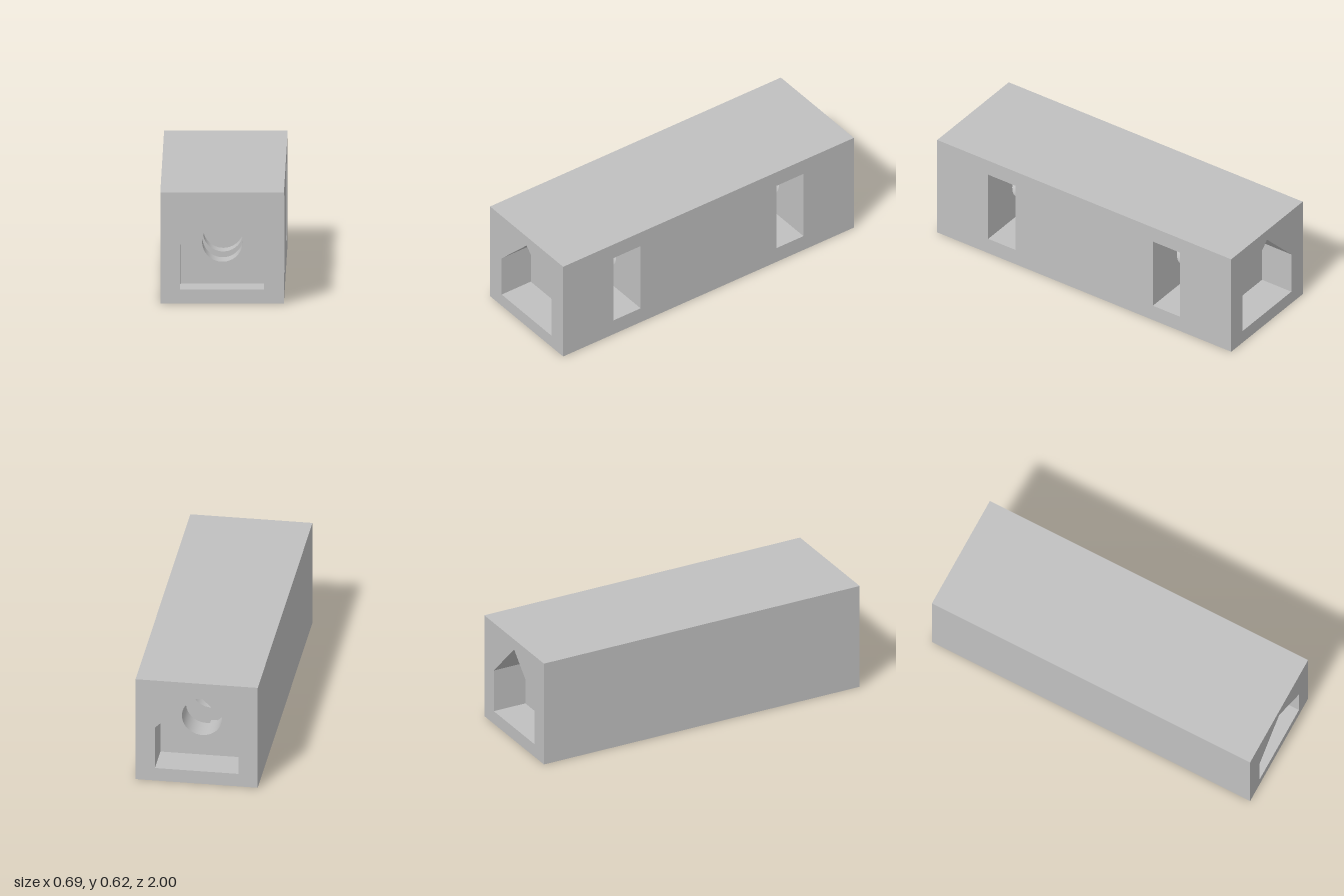
import * as THREE from 'three';

const W = 0.343, H = 0.625, CY = 0.313;      // half width, height, bore axis height
const POCKET = 0.8, SLOT_OUT = 0.653, SLOT_IN = 0.467, BORE_END = 0.35; // z positions

export function createModel() {
  const group = new THREE.Group();
  group.name = 'block';
  const grey = new THREE.MeshStandardMaterial({ color: 0xc0c0c0 });
  grey.name = 'grey';

  const v = (x, y) => new THREE.Vector2(x, y);
  const add = (name, geo) => {
    const mesh = new THREE.Mesh(geo, grey);
    mesh.name = name;
    group.add(mesh);
    return mesh;
  };

  // Flat face from an outline with holes, facing +z or -z
  const plate = (name, outline, holes, z, facing) => {
    const shape = new THREE.Shape(outline);
    holes.forEach(h => shape.holes.push(new THREE.Path(h)));
    const geo = new THREE.ShapeGeometry(shape);
    if (facing < 0) {
      geo.index.array.reverse();
      geo.computeVertexNormals();
    }
    geo.translate(0, 0, z);
    return add(name, geo);
  };

  // Inward facing walls of a counter-clockwise outline, from z0 to z1
  const walls = (name, pts, z0, z1, closed, smooth) => {
    const [a, b] = [Math.min(z0, z1), Math.max(z0, z1)];
    const pos = [], index = [], n = pts.length;
    pts.forEach(p => pos.push(p.x, p.y, a, p.x, p.y, b));
    for (let i = 0; i < (closed ? n : n - 1); i++) {
      const p = 2 * i, q = 2 * ((i + 1) % n);
      index.push(p, p + 1, q + 1, p, q + 1, q);
    }
    let geo = new THREE.BufferGeometry();
    geo.setAttribute('position', new THREE.Float32BufferAttribute(pos, 3));
    geo.setIndex(index);
    if (!smooth) geo = geo.toNonIndexed();
    geo.computeVertexNormals();
    return add(name, geo);
  };

  // Outlines in x, y
  const rect = (x0, y0, x1, y1) => [v(x0, y0), v(x1, y0), v(x1, y1), v(x0, y1)];
  const house = [v(-0.234, 0.078), v(0.234, 0.078), v(0.234, 0.33), v(0, 0.563), v(-0.234, 0.33)];
  const circle = [];
  for (let i = 0; i < 64; i++) {
    const t = i / 64 * Math.PI * 2;
    circle.push(v(0.113 * Math.cos(t), CY + 0.113 * Math.sin(t)));
  }
  // Nut trap: straight slot from the side, ending in half a hexagon
  const R = 0.219, F = 0.19, S = 0.217;
  const slot = [[W, S], [0, S], [0, F], [-R / 2, F], [-R, 0], [-R / 2, -F], [0, -F], [0, -S], [W, -S]]
    .map(([x, y]) => v(x, CY + y));

  // Outer sides
  add('top', new THREE.PlaneGeometry(2 * W, 2).rotateX(-Math.PI / 2).translate(0, H, 0));
  add('bottom', new THREE.PlaneGeometry(2 * W, 2).rotateX(Math.PI / 2));
  add('leftOrPlainSide', new THREE.PlaneGeometry(2, H).rotateY(-Math.PI / 2).translate(-W, H / 2, 0)).name = 'plainSide';
  const openings = [[-SLOT_OUT, -SLOT_IN], [SLOT_IN, SLOT_OUT]].map(([a, b]) => rect(a, CY - S, b, CY + S));
  plate('slottedSide', rect(-1, 0, 1, H), openings, 0, 1).geometry.rotateY(Math.PI / 2).translate(W, 0, 0);

  // Both ends: house-shaped pocket, bore and nut slot
  for (const [end, s] of [['front', 1], ['back', -1]]) {
    plate(end + 'Face', rect(-W, 0, W, H), [house], s, s);
    walls(end + 'PocketWalls', house, s * POCKET, s, true, false);
    plate(end + 'PocketBack', house, [circle], s * POCKET, s);
    walls(end + 'OuterBore', circle, s * SLOT_OUT, s * POCKET, true, true);
    plate(end + 'SlotOuterWall', slot, [circle], s * SLOT_OUT, -s);
    walls(end + 'SlotWalls', slot, s * SLOT_IN, s * SLOT_OUT, false, false);
    plate(end + 'SlotInnerWall', slot, [circle], s * SLOT_IN, s);
    walls(end + 'InnerBore', circle, s * BORE_END, s * SLOT_IN, true, true);
    plate(end + 'BoreEnd', circle, [], s * BORE_END, s);
  }
  return group;
}
